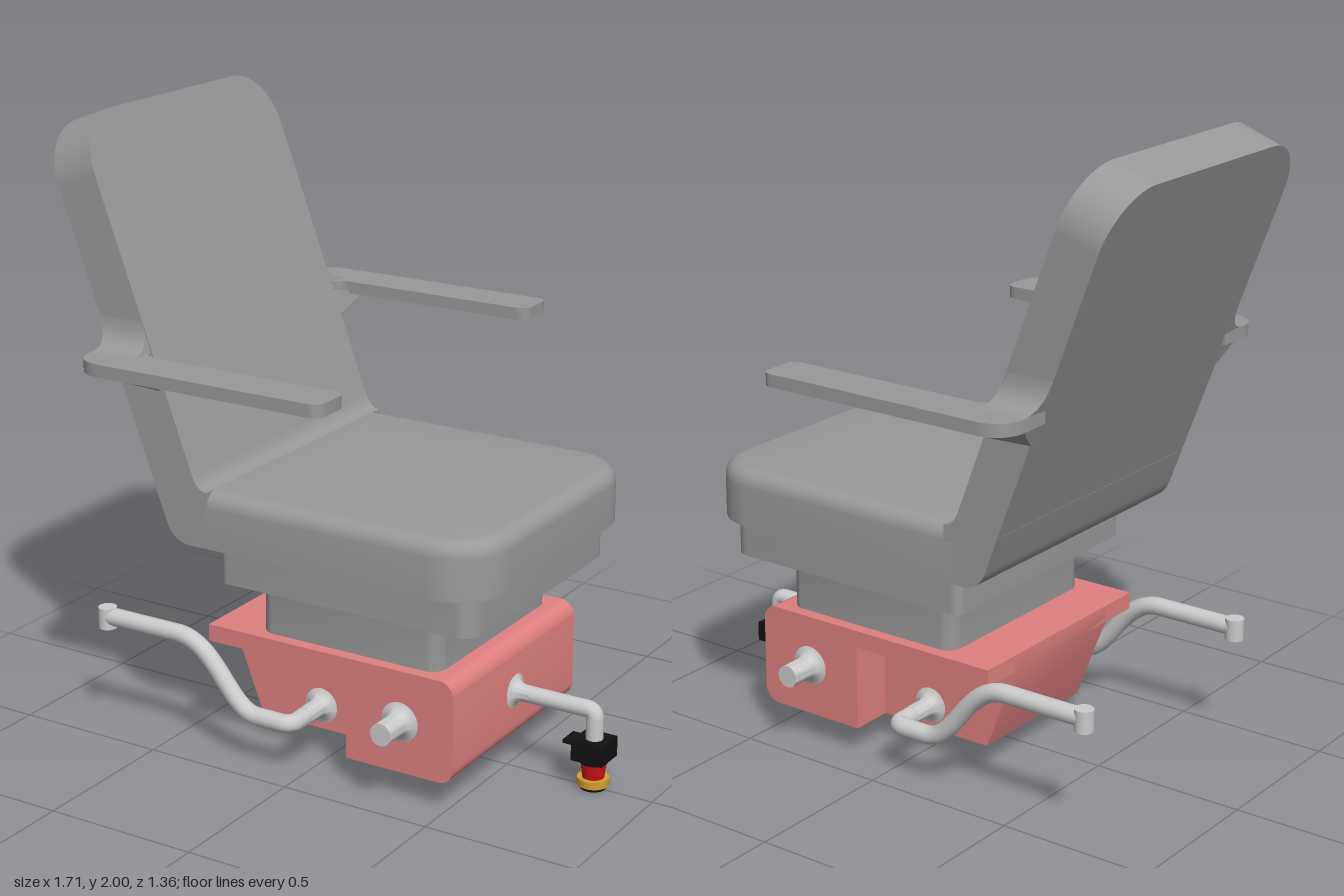
import * as THREE from 'three';
import { toCreasedNormals } from 'three/addons/utils/BufferGeometryUtils.js';
import { ConvexGeometry } from 'three/addons/geometries/ConvexGeometry.js';

const V = (x, y, z) => new THREE.Vector3(x, y, z);
const paint = (color) => new THREE.MeshStandardMaterial({ color });

export function createModel() {
  const model = new THREE.Group();
  const grey = paint(0x999999), red = paint(0xe08080), metal = paint(0xcccccc);
  const black = paint(0x111111), scarlet = paint(0xcc1111), gold = paint(0xd0a030);

  const add = (name, geometry, material, x = 0, y = 0, z = 0) => {
    const mesh = new THREE.Mesh(geometry, material);
    mesh.name = name;
    mesh.position.set(x, y, z);
    model.add(mesh);
    return mesh;
  };
  const crease = (g) => toCreasedNormals(g, 0.6);
  const extrude = (shape, depth) =>
    new THREE.ExtrudeGeometry(shape, { depth, bevelEnabled: false, curveSegments: 10 });
  // side profile extruded symmetrically across the width
  const across = (shape, width) => crease(extrude(shape, width).translate(0, 0, -width / 2));

  // rounded rectangle in plan, stacked as rings of [height, inset]
  function stack(x0, x1, halfZ, rFront, rRear, rings) {
    const pos = [], idx = [], N = 10, count = 4 * (N + 1);
    const corners = [[x1, 1, rFront], [x0, 1, rRear], [x0, -1, rRear], [x1, -1, rFront]];
    for (const [y, inset] of rings) {
      corners.forEach(([cx, sz, r], q) => {
        const mx = cx === x1 ? x1 - r : x0 + r, mz = sz * (halfZ - r);
        for (let i = 0; i <= N; i++) {
          const a = (q + i / N) * Math.PI / 2;
          pos.push(mx + (r - inset) * Math.cos(a), y, mz + (r - inset) * Math.sin(a));
        }
      });
    }
    const last = rings.length - 1, mid = (x0 + x1) / 2, c = rings.length * count;
    pos.push(mid, rings[0][0], 0, mid, rings[last][0], 0);
    for (let i = 0; i < count; i++) {
      const j = (i + 1) % count;
      for (let k = 0; k < last; k++) {
        const a = k * count + i, b = k * count + j;
        idx.push(a, a + count, b, b, a + count, b + count);
      }
      idx.push(c, i, j, c + 1, last * count + j, last * count + i);
    }
    const g = new THREE.BufferGeometry();
    g.setAttribute('position', new THREE.Float32BufferAttribute(pos, 3));
    g.setIndex(idx);
    return crease(g);
  }

  // seat cushion with rolled top edge
  const roll = [[0.72, 0]];
  for (let i = 0; i <= 6; i++) {
    const a = i / 6 * Math.PI / 2;
    roll.push([0.85 + 0.05 * Math.sin(a), 0.05 * (1 - Math.cos(a))]);
  }
  add('seatCushion', stack(-0.36, 0.67, 0.495, 0.175, 0.052, roll), grey);

  // bend between cushion and backrest
  const bend = new THREE.Shape();
  bend.moveTo(-0.468, 0.898);
  bend.lineTo(-0.426, 0.785);
  bend.quadraticCurveTo(-0.402, 0.72, -0.34, 0.72);
  bend.lineTo(-0.275, 0.72);
  bend.lineTo(-0.275, 0.9);
  bend.quadraticCurveTo(-0.31, 0.9, -0.328, 0.95);
  add('seatBend', across(bend, 0.99), grey);

  // tilted backrest, rounded at the top
  const back = new THREE.Shape(), w = 0.495, r = 0.185;
  back.moveTo(-w, -1.12);
  back.lineTo(w, -1.12);
  back.lineTo(w, -r);
  back.absarc(w - r, -r, r, 0, Math.PI / 2);
  back.lineTo(r - w, 0);
  back.absarc(r - w, -r, r, Math.PI / 2, Math.PI);
  const s20 = 0.35, c20 = 0.937;
  const tilt = new THREE.Matrix4()
    .makeBasis(V(0, 0, 1), V(-s20, c20, 0), V(-c20, -s20, 0)).setPosition(-0.72, 2, 0);
  add('backrest', crease(extrude(back, 0.149).applyMatrix4(tilt)), grey);

  // two stepped tiers under the cushion, the lower one flaring at its top
  add('seatPlate', stack(-0.28, 0.61, 0.43, 0.06, 0.03, [[0.59, 0], [0.72, 0]]), grey);
  const flare = [[0.42, 0]];
  for (let i = 0; i <= 5; i++) {
    const a = i / 5 * Math.PI / 2;
    flare.push([0.55 + 0.04 * Math.sin(a), -0.04 * (1 - Math.cos(a))]);
  }
  add('pedestal', stack(-0.19, 0.45, 0.345, 0.05, 0.05, flare), grey);

  // red housing: narrow core plus full-width hood and front block
  const housing = (rear) => {
    const p = new THREE.Shape();
    p.moveTo(-0.355, 0.42);
    p.lineTo(-0.355, 0.365);
    rear.forEach(([x, y]) => p.lineTo(x, y));
    p.lineTo(0.475, 0.09);
    p.absarc(0.475, 0.14, 0.05, -Math.PI / 2, 0);
    p.lineTo(0.525, 0.37);
    p.absarc(0.475, 0.37, 0.05, 0, Math.PI / 2);
    return p;
  };
  add('housingCore', across(housing([[-0.25, 0.09]]), 0.49), red);
  add('housingShell', across(housing([[0.15, 0.365], [0.15, 0.09]]), 0.77), red);

  // pin with a flared foot, along +y
  const pin = (radius, length) => crease(new THREE.LatheGeometry([
    [radius + 0.028, 0], [radius + 0.012, 0.006], [radius + 0.003, 0.018], [radius, 0.035],
    [radius, length], [0, length],
  ].map(([a, b]) => new THREE.Vector2(a, b)), 28));

  for (const s of [1, -1]) {
    const side = s > 0 ? 'left' : 'right';

    // armrest with rounded ends, joining the backrest
    const arm = new THREE.Shape();
    arm.moveTo(-0.62, s * 0.48);
    arm.lineTo(-0.625, s * 0.58);
    arm.quadraticCurveTo(-0.62, s * 0.68, -0.52, s * 0.68);
    arm.lineTo(0.21, s * 0.68);
    arm.quadraticCurveTo(0.25, s * 0.68, 0.25, s * 0.64);
    arm.lineTo(0.25, s * 0.575);
    arm.quadraticCurveTo(0.25, s * 0.535, 0.21, s * 0.535);
    arm.lineTo(-0.42, s * 0.535);
    arm.quadraticCurveTo(-0.465, s * 0.535, -0.467, s * 0.48);
    add(side + 'Armrest', crease(extrude(arm, 0.04).rotateX(Math.PI / 2).translate(0, 1.31, 0)), grey);

    // concave fillet above the armrest root, sheared along the backrest
    const fillet = new THREE.Shape();
    fillet.moveTo(s * 0.485, -0.02);
    fillet.lineTo(s * 0.495, 0.09);
    fillet.quadraticCurveTo(s * 0.5, 0, s * 0.585, 0);
    fillet.lineTo(s * 0.585, -0.02);
    const shear = new THREE.Matrix4()
      .makeBasis(V(0, 0, 1), V(-0.3735, 1, 0), V(-1, 0, 0)).setPosition(-0.467, 1.31, 0);
    add(side + 'ArmFillet', crease(extrude(fillet, 0.155).applyMatrix4(shear)), grey);

    // sloping bracket below the armrest root
    add(side + 'ArmBracket', new ConvexGeometry([
      V(-0.58, 1.195, s * 0.49), V(-0.44, 1.195, s * 0.495), V(-0.61, 1.28, s * 0.49),
      V(-0.46, 1.28, s * 0.49), V(-0.61, 1.275, s * 0.575), V(-0.38, 1.275, s * 0.575),
    ]), grey);

    // short side peg and lever boss
    const turn = s * Math.PI / 2;
    add(side + 'Peg', pin(0.036, 0.11), metal, 0.34, 0.255, s * 0.385).rotation.x = turn;
    add(side + 'LeverBoss', pin(0.03, 0.1), metal, -0.03, 0.168, s * 0.245).rotation.x = turn;

    // cranked lever
    const path = new THREE.CurvePath(), z = s * 0.42;
    path.add(new THREE.LineCurve3(V(-0.03, 0.168, s * 0.25), V(-0.03, 0.168, s * 0.385)));
    path.add(new THREE.QuadraticBezierCurve3(V(-0.03, 0.168, s * 0.385), V(-0.03, 0.168, z), V(-0.065, 0.168, z)));
    path.add(new THREE.LineCurve3(V(-0.065, 0.168, z), V(-0.15, 0.168, z)));
    path.add(new THREE.CubicBezierCurve3(V(-0.15, 0.168, z), V(-0.26, 0.168, z), V(-0.3, 0.382, z), V(-0.45, 0.382, z)));
    path.add(new THREE.LineCurve3(V(-0.45, 0.382, z), V(-0.725, 0.382, z)));
    add(side + 'Lever', new THREE.TubeGeometry(path, 90, 0.029, 14), metal);
    add(side + 'LeverTip', new THREE.CylinderGeometry(0.03, 0.03, 0.07, 20), metal, -0.725, 0.377, z);
  }

  // outlet pipe bending down at the front
  add('pipeFlange', pin(0.027, 0.06), metal, 0.525, 0.255, 0).rotation.z = -Math.PI / 2;
  const pipe = new THREE.CurvePath();
  pipe.add(new THREE.LineCurve3(V(0.53, 0.255, 0), V(0.775, 0.255, 0)));
  pipe.add(new THREE.QuadraticBezierCurve3(V(0.775, 0.255, 0), V(0.8, 0.255, 0), V(0.8, 0.23, 0)));
  pipe.add(new THREE.LineCurve3(V(0.8, 0.23, 0), V(0.8, 0.13, 0)));
  add('pipe', new THREE.TubeGeometry(pipe, 50, 0.027, 16), metal);

  // coupling at the pipe end
  add('couplingBlock', new THREE.BoxGeometry(0.105, 0.065, 0.105), black, 0.8, 0.13, 0);
  add('couplingTab', new THREE.BoxGeometry(0.05, 0.012, 0.07), black, 0.735, 0.145, 0);
  add('couplingCollar', new THREE.CylinderGeometry(0.043, 0.043, 0.02, 24), black, 0.8, 0.095, 0);
  add('couplingBody', new THREE.CylinderGeometry(0.041, 0.034, 0.06, 24), scarlet, 0.8, 0.065, 0);
  add('couplingRing', new THREE.CylinderGeometry(0.05, 0.05, 0.024, 24), gold, 0.8, 0.024, 0);
  add('couplingFoot', new THREE.CylinderGeometry(0.045, 0.04, 0.014, 24), black, 0.8, 0.007, 0);

  return model;
}
